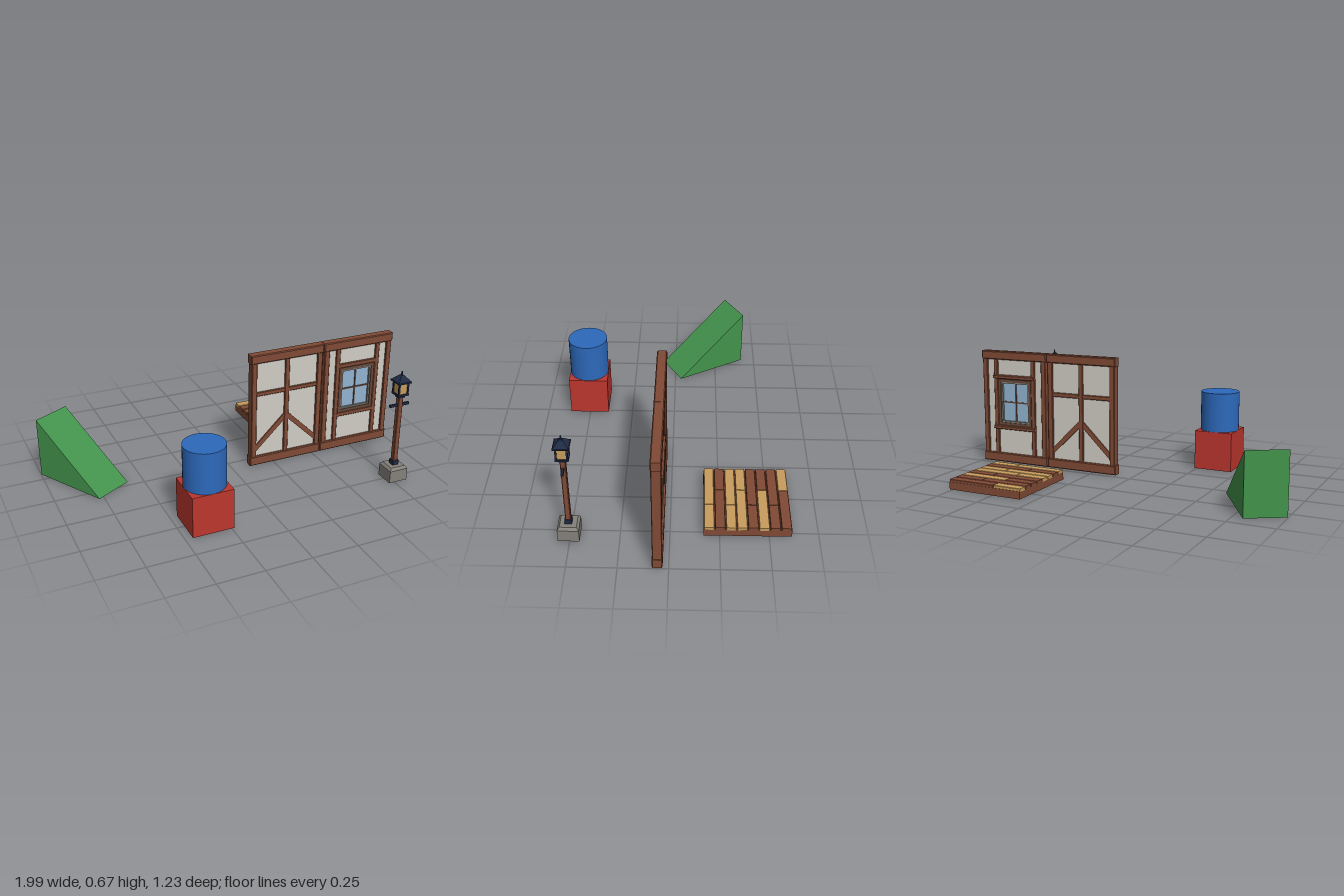
import * as THREE from 'three';

const mat = (name, color) => {
  const m = new THREE.MeshStandardMaterial({ color });
  m.name = name;
  return m;
};

export function createModel() {
  const red = mat('red', 0xbc362e), blue = mat('blue', 0x2d69bb), green = mat('green', 0x43934c);
  const timber = mat('timber', 0x804a35), tan = mat('light wood', 0xc89c5c);
  const plaster = mat('plaster', 0xd0cdc4), stone = mat('stone', 0x85817a);
  const navy = mat('dark iron', 0x1f2a44), glass = mat('glass', 0x93b4d2), trim = mat('window trim', 0x66493b);

  const model = new THREE.Group();
  const group = (name, x, y, z) => {
    const g = new THREE.Group();
    g.name = name;
    g.position.set(x, y, z);
    model.add(g);
    return g;
  };
  const add = (parent, name, geo, material, x = 0, y = 0, z = 0) => {
    const m = new THREE.Mesh(geo, material);
    m.name = name;
    m.position.set(x, y, z);
    parent.add(m);
    return m;
  };
  const shapeOf = pts => new THREE.Shape(pts.map(p => new THREE.Vector2(p[0], p[1])));
  const rect = (x0, y0, x1, y1) => [[x0, y0], [x1, y0], [x1, y1], [x0, y1]];
  const extrude = (shape, depth) => {
    const g = new THREE.ExtrudeGeometry(shape, { depth, bevelEnabled: false });
    return g.translate(0, 0, -depth / 2);
  };
  // Block with chamfered edges, centred on its origin
  const chamfered = (w, h, d, c) => {
    const g = new THREE.ExtrudeGeometry(
      shapeOf(rect(c - w / 2, c - h / 2, w / 2 - c, h / 2 - c)),
      { depth: d - 2 * c, bevelEnabled: true, bevelSegments: 1, bevelSize: c, bevelThickness: c });
    return g.translate(0, 0, c - d / 2);
  };
  // Chamfered timber given by its front rectangle
  const beam = (parent, name, x0, y0, x1, y1, d, material = timber, z = 0, c = 0.003) =>
    add(parent, name, chamfered(x1 - x0, y1 - y0, d, c), material, (x0 + x1) / 2, (y0 + y1) / 2, z);
  // Square frustum between two heights
  const frustum = (parent, name, top, bottom, y0, y1, material) => {
    const g = new THREE.CylinderGeometry(top / Math.SQRT2, bottom / Math.SQRT2, y1 - y0, 4).toNonIndexed();
    g.rotateY(Math.PI / 4).computeVertexNormals();
    return add(parent, name, g, material, 0, (y0 + y1) / 2, 0);
  };

  // Basic blocks
  const blocks = group('blocks', -0.348, 0, 0.503);
  add(blocks, 'cube', new THREE.BoxGeometry(0.223, 0.225, 0.223), red, 0, 0.1125, 0);
  add(blocks, 'cylinder', new THREE.CylinderGeometry(0.111, 0.111, 0.225, 32), blue, 0, 0.3375, 0);

  // Ramp, turned about the vertical
  const ramp = group('ramp', -0.792, 0, -0.172);
  add(ramp, 'wedge', extrude(shapeOf([[-0.221, 0], [0.221, 0], [-0.221, 0.336]]), 0.22), green);
  ramp.rotation.y = -Math.PI / 3;

  // Plank floor: [split, left colour, right colour] from back to front
  const floor = group('floor', 0.55, 0, -0.392);
  add(floor, 'floorBase', new THREE.BoxGeometry(0.444, 0.042, 0.444), timber, 0, 0.021, 0);
  const near = -0.056, far = 0.056;
  [[near, tan, timber], [far, timber, timber], [near, timber, tan], [far, timber, timber],
    [near, tan, tan], [far, tan, tan], [near, timber, timber], [far, tan, tan]].forEach(([split, a, b], i) => {
    const z = -0.222 + (i + 0.5) * 0.0555;
    [[-0.222, split - 0.002, a], [split + 0.002, 0.222, b]].forEach(([x0, x1, m]) =>
      add(floor, 'plank', chamfered(x1 - x0, 0.018, 0.051, 0.002), m, (x0 + x1) / 2, 0.047, z));
  });

  // Timber frame shared by both wall panels
  const wallPanel = (name, x) => {
    const g = group(name, x, 0, 0.056);
    beam(g, 'sillBeam', -0.2225, 0, 0.2225, 0.055, 0.053, timber, 0, 0.005);
    beam(g, 'topBeam', -0.2225, 0.62, 0.2225, 0.67, 0.053, timber, 0, 0.005);
    for (const s of [-1, 1])
      add(g, 'endPost', chamfered(0.031, 0.575, 0.049, 0.003), timber, s * 0.201, 0.3375, 0);
    return g;
  };

  // Braced panel
  const braced = wallPanel('bracedWall', 0.326);
  add(braced, 'infill', new THREE.BoxGeometry(0.4, 0.6, 0.025), plaster, 0, 0.335, 0);
  beam(braced, 'middlePost', -0.0135, 0.05, 0.0135, 0.625, 0.045);
  beam(braced, 'rail', -0.19, 0.424, 0.19, 0.449, 0.042);
  for (const s of [-1, 1]) {
    const pts = [[s * 0.19, 0.082], [s * 0.19, 0.12], [0, 0.305], [0, 0.265]];
    add(braced, 'brace', extrude(shapeOf(pts), 0.041), timber);
  }

  // Window panel
  const win = wallPanel('windowWall', 0.774);
  const infill = shapeOf(rect(-0.2, 0.04, 0.2, 0.63));
  infill.holes.push(new THREE.Path(rect(-0.1, 0.24, 0.1, 0.49).map(p => new THREE.Vector2(p[0], p[1]))));
  add(win, 'infill', extrude(infill, 0.025), plaster);
  for (const s of [-1, 1])
    add(win, 'windowPost', chamfered(0.027, 0.575, 0.045, 0.003), timber, s * 0.128, 0.3375, 0);
  for (const y of [0.2125, 0.5175]) {
    add(win, 'windowRail', chamfered(0.25, 0.025, 0.046, 0.003), timber, 0, y, 0);
    add(win, 'windowLedge', chamfered(0.282, 0.018, 0.014, 0.002), timber, 0, y, -0.027);
  }
  const casing = shapeOf(rect(-0.113, 0.226, 0.113, 0.504));
  casing.holes.push(new THREE.Path(rect(-0.096, 0.243, 0.096, 0.487).map(p => new THREE.Vector2(p[0], p[1]))));
  add(win, 'windowCasing', extrude(casing, 0.04), trim);
  const sash = shapeOf(rect(-0.098, 0.241, 0.098, 0.489));
  sash.holes.push(new THREE.Path(rect(-0.087, 0.252, 0.087, 0.478).map(p => new THREE.Vector2(p[0], p[1]))));
  add(win, 'windowSash', extrude(sash, 0.03), stone);
  add(win, 'pane', new THREE.BoxGeometry(0.18, 0.235, 0.006), glass, 0, 0.365, 0);
  add(win, 'mullion', new THREE.BoxGeometry(0.008, 0.23, 0.018), trim, 0, 0.365, 0);
  add(win, 'glazingBar', new THREE.BoxGeometry(0.176, 0.008, 0.016), trim, 0, 0.365, 0);

  // Street lamp
  const lamp = group('lamp', 0.774, 0, 0.505);
  add(lamp, 'footing', new THREE.BoxGeometry(0.109, 0.07, 0.109), stone, 0, 0.035, 0);
  frustum(lamp, 'footingTop', 0.085, 0.109, 0.07, 0.085, stone);
  add(lamp, 'collar', new THREE.BoxGeometry(0.036, 0.028, 0.036), navy, 0, 0.098, 0);
  add(lamp, 'post', chamfered(0.028, 0.415, 0.028, 0.003), timber, 0, 0.2925, 0);
  add(lamp, 'crossArm', new THREE.BoxGeometry(0.118, 0.014, 0.012), navy, 0, 0.443, 0);
  frustum(lamp, 'neck', 0.044, 0.036, 0.488, 0.506, navy);
  add(lamp, 'lanternFloor', new THREE.BoxGeometry(0.066, 0.01, 0.066), navy, 0, 0.509, 0);
  add(lamp, 'lanternGlass', new THREE.BoxGeometry(0.052, 0.065, 0.052), tan, 0, 0.545, 0);
  for (const x of [-1, 1]) for (const z of [-1, 1])
    add(lamp, 'lanternPost', new THREE.BoxGeometry(0.009, 0.068, 0.009), navy, x * 0.0265, 0.545, z * 0.0265);
  add(lamp, 'eave', new THREE.BoxGeometry(0.08, 0.008, 0.08), navy, 0, 0.58, 0);
  frustum(lamp, 'roof', 0.016, 0.076, 0.584, 0.616, navy);
  add(lamp, 'finial', new THREE.CylinderGeometry(0.003, 0.005, 0.022, 8), navy, 0, 0.625, 0);
  return model;
}
